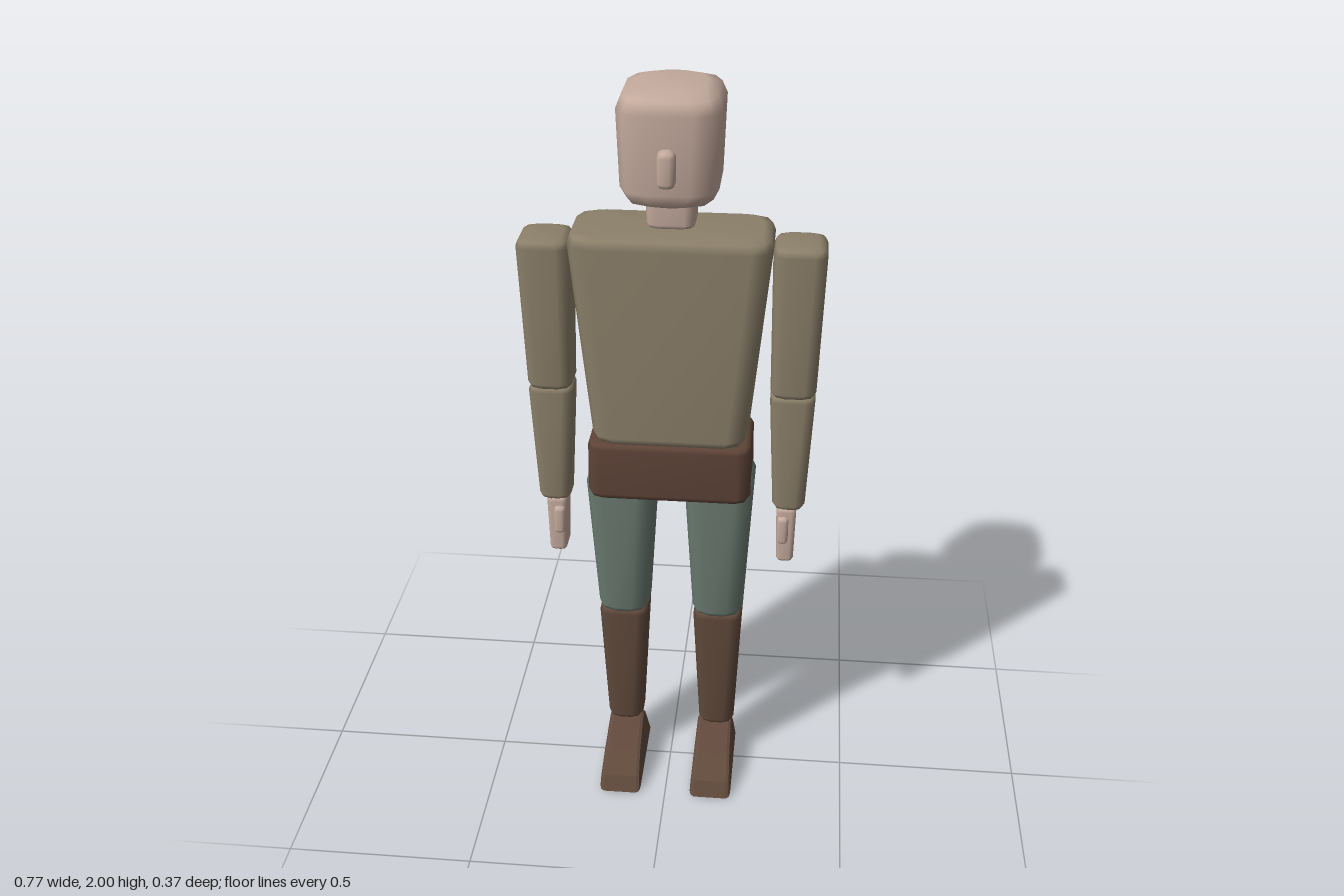
import * as THREE from 'three';

const paint = (name, color) => {
  const m = new THREE.MeshStandardMaterial({ color });
  m.name = name;
  return m;
};

// Ring of a rectangle with rounded corners, counterclockwise from above
function ring(y, x0, x1, z0, z1, r) {
  const q = Math.min(r, (x1 - x0) * 0.45, (z1 - z0) * 0.45);
  const centres = [[x1 - q, z0 + q], [x0 + q, z0 + q], [x0 + q, z1 - q], [x1 - q, z1 - q]];
  const pts = [];
  centres.forEach(([cx, cz], c) => {
    for (let k = 0; k < 3; k++) {
      const t = (c + k / 2) * Math.PI / 2;
      pts.push([cx + q * Math.cos(t), y, cz - q * Math.sin(t)]);
    }
  });
  return pts;
}

// Tapered padded block between two rectangles [y, x0, x1, z0, z1]
function block(bottom, top, r, bevelBottom, bevelTop) {
  const H = top[0] - bottom[0];
  const row = (y, inset) => {
    const t = (y - bottom[0]) / H;
    const [x0, x1, z0, z1] = [1, 2, 3, 4].map(i => bottom[i] + (top[i] - bottom[i]) * t);
    return ring(y, x0 + inset, x1 - inset, z0 + inset, z1 - inset, r);
  };
  const b = bevelBottom, u = bevelTop;
  const rows = [
    row(bottom[0], b), row(bottom[0] + b * 0.3, b * 0.3), row(bottom[0] + b, 0),
    row(top[0] - u, 0), row(top[0] - u * 0.3, u * 0.3), row(top[0], u),
  ];
  const n = 12, pos = rows.flat(2), idx = [];
  for (let j = 0; j < rows.length - 1; j++) {
    for (let i = 0; i < n; i++) {
      const a = j * n + i, c = j * n + (i + 1) % n;
      idx.push(a, c, c + n, a, c + n, a + n);
    }
  }
  // Closing caps
  const last = (rows.length - 1) * n, mid = rows.length * n;
  for (const e of [bottom, top]) pos.push((e[1] + e[2]) / 2, e[0], (e[3] + e[4]) / 2);
  for (let i = 0; i < n; i++) {
    const k = (i + 1) % n;
    idx.push(mid, k, i, mid + 1, last + i, last + k);
  }
  const g = new THREE.BufferGeometry();
  g.setAttribute('position', new THREE.Float32BufferAttribute(pos, 3));
  g.setIndex(idx);
  g.computeVertexNormals();
  return g;
}

// Wedge shoe: side profile extruded across the foot, narrowed upwards
function shoeGeometry() {
  const b = 0.012;
  const s = new THREE.Shape([
    [-0.097, 0.012], [0.172, 0.012], [0.156, 0.037], [0.097, 0.079],
    [-0.02, 0.12], [-0.045, 0.104],
  ].map(p => new THREE.Vector2(...p)));
  const g = new THREE.ExtrudeGeometry(s, {
    depth: 0.092, bevelEnabled: true, bevelSize: b, bevelThickness: b, bevelSegments: 2,
  });
  g.translate(0, 0, -0.046);
  g.rotateY(-Math.PI / 2);
  const p = g.attributes.position;
  for (let i = 0; i < p.count; i++) {
    p.setX(i, p.getX(i) * (1 - 1.3 * Math.max(0, p.getY(i) - 0.02)));
    p.setY(i, Math.max(0, p.getY(i)));
  }
  g.computeVertexNormals();
  return g;
}

export function createModel() {
  const skin = paint('skin', 0xc4aa9d);
  const tunic = paint('tunic cloth', 0x8c806a);
  const leather = paint('belt leather', 0x5f4438);
  const cloth = paint('trouser cloth', 0x6b7b71);
  const boot = paint('boot leather', 0x614a3c);

  const model = new THREE.Group();
  model.name = 'figure';
  const add = (parent, name, mat, geo) => {
    const m = new THREE.Mesh(geo, mat);
    m.name = name;
    parent.add(m);
    return m;
  };

  // Head and neck
  add(model, 'head', skin, block(
    [1.72, -0.118, 0.118, -0.175, 0.098], [2.0, -0.128, 0.128, -0.186, 0.106], 0.065, 0.045, 0.045));
  add(model, 'nose', skin, block(
    [1.79, -0.022, 0.022, 0.07, 0.135], [1.88, -0.022, 0.022, 0.07, 0.135], 0.014, 0.014, 0.014));
  add(model, 'neck', skin, block(
    [1.65, -0.06, 0.06, -0.105, 0.018], [1.76, -0.062, 0.062, -0.107, 0.02], 0.025, 0.012, 0.012));

  // Trunk
  add(model, 'torso', tunic, block(
    [1.07, -0.2, 0.2, -0.148, 0.072], [1.645, -0.257, 0.257, -0.161, 0.081], 0.052, 0.025, 0.03));
  add(model, 'belt', leather, block(
    [0.91, -0.215, 0.215, -0.153, 0.075], [1.078, -0.213, 0.213, -0.153, 0.077], 0.035, 0.02, 0.015));

  for (const side of [1, -1]) {
    const label = side > 0 ? 'left' : 'right';
    // Swap and negate x limits for the mirrored side
    const flip = ([y, x0, x1, z0, z1]) =>
      side > 0 ? [y, x0, x1, z0, z1] : [y, -x1, -x0, z0, z1];
    const limb = (parent, name, mat, a, b, ...rest) =>
      add(parent, name, mat, block(flip(a), flip(b), ...rest));

    const arm = new THREE.Group();
    arm.name = label + 'Arm';
    limb(arm, 'upperArm', tunic, [1.197, 0.257, 0.374, -0.1, 0.018],
      [1.615, 0.252, 0.387, -0.117, 0.035], 0.03, 0.018, 0.022);
    limb(arm, 'forearm', tunic, [0.86, 0.273, 0.358, -0.086, 0.006],
      [1.207, 0.256, 0.374, -0.1, 0.018], 0.026, 0.016, 0.016);
    limb(arm, 'hand', skin, [0.7, 0.288, 0.334, -0.078, 0.004],
      [0.87, 0.284, 0.338, -0.08, 0.006], 0.012, 0.01, 0.014);
    limb(arm, 'thumb', skin, [0.765, 0.287, 0.318, -0.015, 0.021],
      [0.845, 0.287, 0.318, -0.015, 0.021], 0.01, 0.009, 0.01);
    model.add(arm);

    const leg = new THREE.Group();
    leg.name = label + 'Leg';
    limb(leg, 'thigh', cloth, [0.518, 0.062, 0.2, -0.112, 0.033],
      [0.99, 0.036, 0.226, -0.147, 0.068], 0.045, 0.02, 0.05);
    limb(leg, 'shin', boot, [0.125, 0.083, 0.182, -0.097, 0.008],
      [0.53, 0.063, 0.2, -0.114, 0.03], 0.03, 0.015, 0.02);
    add(leg, 'shoe', boot, shoeGeometry()).position.x = side * 0.129;
    model.add(leg);
  }
  return model;
}
